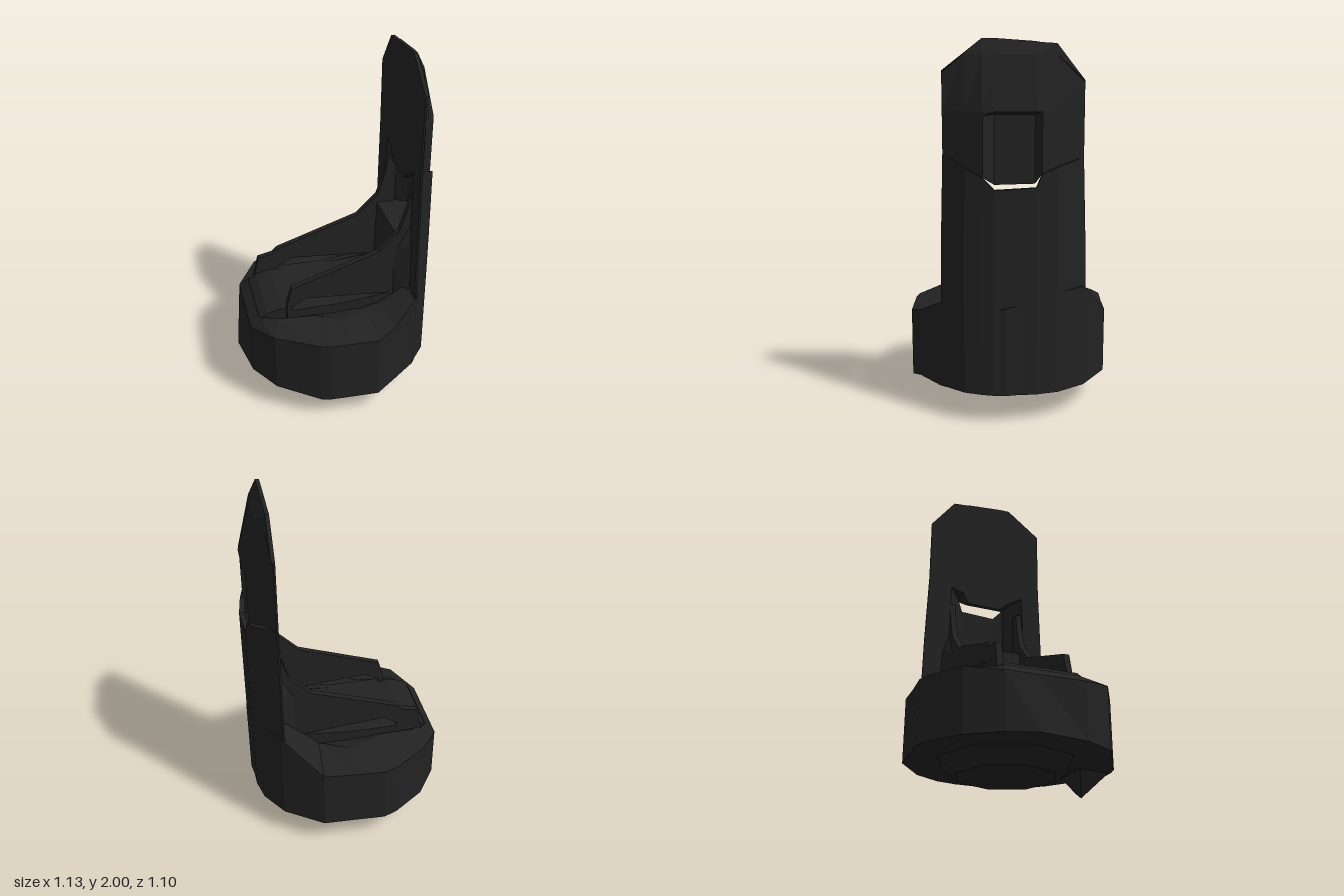
import * as THREE from 'three';
import { ConvexGeometry } from 'three/addons/geometries/ConvexGeometry.js';

const material = new THREE.MeshStandardMaterial({ color: 0x222222, flatShading: true, side: THREE.DoubleSide });

function mesh(name, geometry) {
  const m = new THREE.Mesh(geometry, material);
  m.name = name;
  return m;
}

// Skin closed loops of equal point count
function loft(loops) {
  const n = loops[0].length, index = [];
  for (let r = 0; r < loops.length - 1; r++) {
    for (let i = 0; i < n; i++) {
      const a = r * n + i, b = r * n + (i + 1) % n;
      index.push(a, a + n, b, b, a + n, b + n);
    }
  }
  const g = new THREE.BufferGeometry();
  g.setAttribute('position', new THREE.Float32BufferAttribute(loops.flat(2), 3));
  g.setIndex(index);
  const flat = g.toNonIndexed();
  flat.computeVertexNormals();
  return flat;
}

// Plan of the base as [x, z]
const plan = [
  [-0.57, -0.06], [-0.52, 0.21], [-0.41, 0.39], [-0.18, 0.525], [-0.12, 0.54], [0, 0.545], [0.15, 0.55],
  [0.25, 0.5], [0.41, 0.38], [0.53, 0.2], [0.565, 0.04], [0.52, -0.24], [0.42, -0.39],
  [0.21, -0.53], [0.02, -0.54], [-0.14, -0.55], [-0.22, -0.52], [-0.4, -0.4], [-0.52, -0.23],
];

// The rim dips at the front end and climbs towards the back panel
function rimHeight(x, z) {
  if (x < -0.4) return Math.max(0.47, 0.51 + (x + 0.4) * 0.33);
  const t = THREE.MathUtils.clamp((x - 0.2) / 0.2, 0, 1);
  return 0.51 + t * (z < 0 ? 0.2 : 0.12);
}

function createBase() {
  const rim = plan.map(([x, z]) => [Math.max(x, -0.52), z]);
  // Straight edges along the seat, each with a pointed notch at the middle
  const notched = rim.map(([x, z]) => {
    const limit = 0.26 + 0.1 * Math.max(0, 1 - Math.abs(x) / 0.22);
    return [x * 0.9, Math.sign(z) * Math.min(Math.abs(z) * 0.9, limit)];
  });
  const trench = rim.map(([x, z]) => [x * 0.85, Math.sign(z) * Math.min(Math.abs(z) * 0.85, 0.215)]);
  const at = (points, y) => points.map(([x, z]) => [x, y(x, z), z]);
  return mesh('base', loft([
    plan.map(() => [0, 0.16, 0]),
    at(plan, (x, z) => (z > 0.5 ? 0.13 : 0.16)),
    at(rim, rimHeight),
    at(notched, (x, z) => rimHeight(x, z) + 0.03),
    at(trench, () => 0.5),
    plan.map(() => [0, 0.5, 0]),
  ]));
}

// Hollow back panel: a curved wall below, a ribbed plate above
function createBackPanel() {
  const zs = [-0.375, -0.23, -0.15, -0.12, 0.09, 0.15, 0.24, 0.355];
  const wall = [0.41, 0.52, 0.54, 0.55, 0.56, 0.545, 0.51, 0.41];
  const ribs = [0.41, 0.475, 0.53, 0.43, 0.43, 0.53, 0.475, 0.41];
  const lip = [0.41, 0.475, 0.53, 0.54, 0.54, 0.53, 0.475, 0.41];
  const brow = [0.41, 0.43, 0.46, 0.465, 0.465, 0.46, 0.43, 0.41];
  const edge = [1.4, 1.36, 1.33, 1.26, 1.25, 1.31, 1.36, 1.43];
  const plateEdge = [1.4, 1.36, 1.33, 1.265, 1.26, 1.31, 1.36, 1.43];
  const crown = [1.79, 1.975, 1.98, 1.985, 2, 2, 1.93, 1.84];
  const level = (v) => zs.map(() => v);
  const flat = level(0.4);
  const pocket = [0.4, 0.4, 0.51, 0.52, 0.53, 0.515, 0.4, 0.4];
  const loop = (outer, ys, inner = flat, flare = 1) => [
    ...zs.map((z, i) => [outer[i], ys[i], z * flare]),
    ...zs.map((z, i) => [inner[i], ys[i], z * flare]).reverse(),
  ];
  const panel = new THREE.Group();
  panel.name = 'backPanel';
  panel.add(mesh('panelWall', loft([
    loop(flat, level(0.16), flat, 1.05),
    loop(wall, level(0.16), flat, 1.05),
    loop(wall, level(0.73), flat, 1.05),
    loop(wall, level(0.95), flat, 1.04),
    loop(wall, level(0.96), pocket, 1.04), // pocket floor
    loop(wall, edge, pocket),
    loop(pocket, edge, pocket),
  ])));
  panel.add(mesh('panelPlate', loft([
    loop(flat, plateEdge),
    loop(ribs, plateEdge),
    loop(ribs, level(1.62)),
    loop(lip, level(1.64)), // lip over the recess
    loop(brow, crown.map((y) => Math.min(y - 0.01, 1.92))),
    loop(level(0.42), crown),
    loop(flat, crown),
  ])));
  return panel;
}

function extrude(name, outline, z0, z1, hole) {
  const points = (list) => list.map(([x, y]) => new THREE.Vector2(x, y));
  const shape = new THREE.Shape(points(outline));
  if (hole) shape.holes.push(new THREE.Path(points(hole)));
  const g = new THREE.ExtrudeGeometry(shape, { depth: z1 - z0, bevelEnabled: false });
  g.translate(0, 0, z0);
  return mesh(name, g);
}

// Low floor between two slotted side rails that sweep up into the panel
function createSeat() {
  const seat = new THREE.Group();
  seat.name = 'seat';
  seat.add(extrude('seatFloor', [
    [-0.52, 0.46], [0.42, 0.46], [0.42, 0.95], [0.34, 0.95], [0.33, 0.59],
    [0, 0.565], [-0.28, 0.565], [-0.33, 0.57], [-0.42, 0.55], [-0.52, 0.47],
  ], -0.21, 0.21));
  const sweep = [
    [0.5, 0.46], [0.5, 1.24], [0.4, 1.24], [0.385, 1.14], [0.34, 1], [0.22, 0.88], [-0.28, 0.71],
  ];
  const slot = [[-0.28, 0.565], [-0.28, 0.585], [-0.2, 0.635], [0.3, 0.595], [0, 0.565]];
  seat.add(extrude('frontRail', [...sweep, [-0.31, 0.6], [-0.31, 0.46]], 0.2, 0.235, slot));
  seat.add(extrude('rearRail', [
    ...sweep, [-0.31, 0.68], [-0.4, 0.66], [-0.42, 0.57], [-0.45, 0.46],
  ], -0.235, -0.2, slot));
  return seat;
}

// Flared webs joining the rails to the panel
function createWeb(side) {
  const p = [
    [0.41, 0.5, 0.21], [0.41, 0.5, 0.3], [0.41, 1.12, 0.21], [0.41, 0.92, 0.28],
    [0.28, 0.62, 0.21], [0.28, 0.86, 0.21], [0.34, 0.62, 0.24],
  ].map(([x, y, z]) => new THREE.Vector3(x, y, z * side));
  return mesh(side > 0 ? 'frontWeb' : 'rearWeb', new ConvexGeometry(p));
}

export function createModel() {
  const model = new THREE.Group();
  model.name = 'roundBaseSeat';
  model.add(createBase(), createBackPanel(), createSeat(), createWeb(1), createWeb(-1));

  // Tapered boss under the base
  const boss = mesh('bottomBoss', new THREE.CylinderGeometry(0.38, 0.28, 0.08, 8));
  boss.position.set(0, 0.12, -0.02);
  model.add(boss);

  // Pointed peg under the front edge
  model.add(mesh('bottomPeg', new ConvexGeometry([
    [-0.03, 0, 0.4], [0.05, 0.04, 0.41], [-0.11, 0.14, 0.36],
    [0.13, 0.14, 0.36], [0.12, 0.14, 0.54], [-0.11, 0.14, 0.54],
  ].map((v) => new THREE.Vector3(...v)))));
  return model;
}
